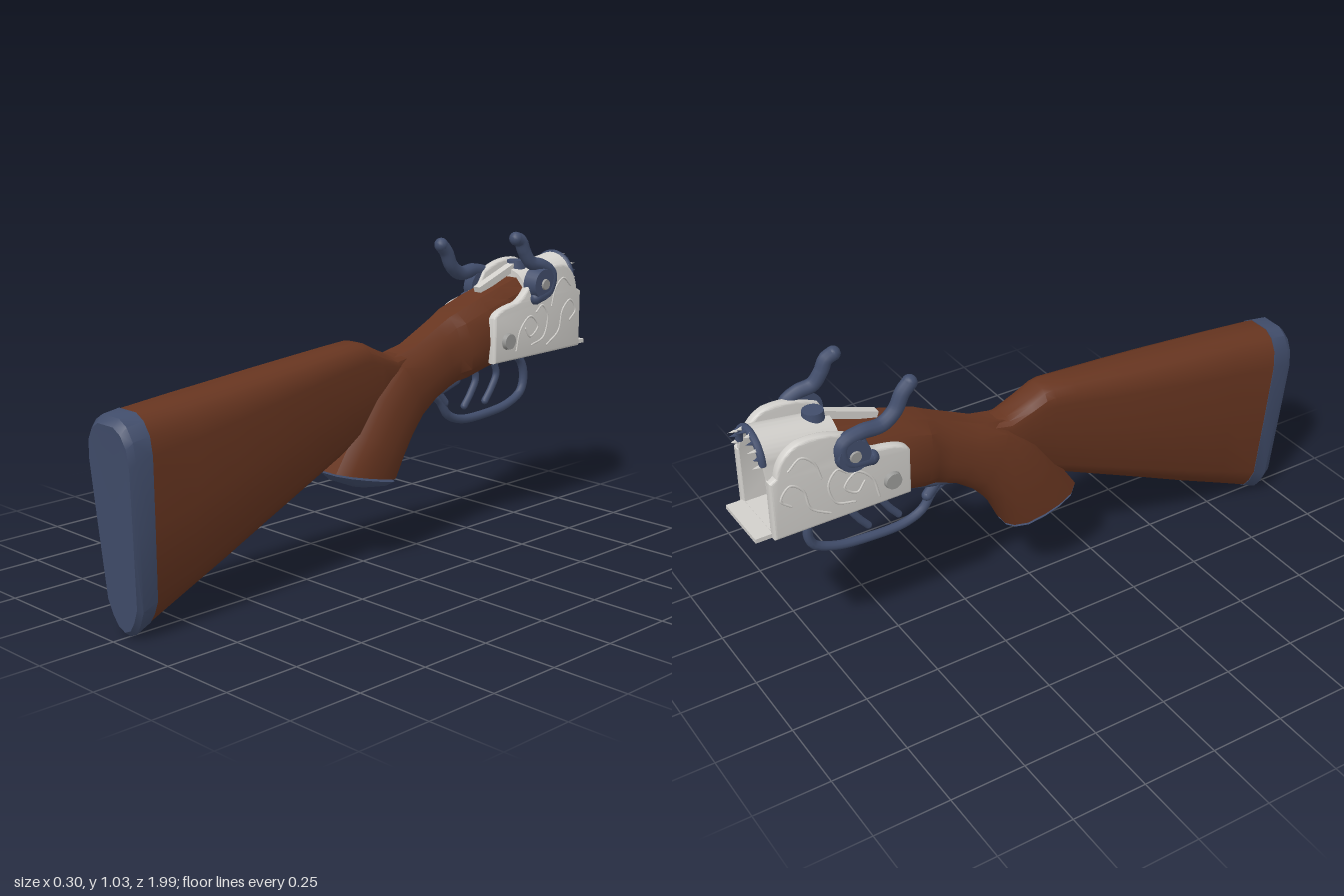
import * as THREE from 'three';
import { toCreasedNormals } from 'three/addons/utils/BufferGeometryUtils.js';

const mat = (name, color) => {
  const m = new THREE.MeshStandardMaterial({ color });
  m.name = name;
  return m;
};

export function createModel() {
  const wood = mat('walnut wood', 0x673520);
  const blue = mat('blued steel', 0x414d6b);
  const silver = mat('silver steel', 0xd2d0cc);
  const grey = mat('dull steel', 0x9a9a98);

  const model = new THREE.Group();
  model.name = 'gunStock';
  const add = (name, geo, material, parent = model) => {
    const mesh = new THREE.Mesh(geo, material);
    mesh.name = name;
    parent.add(mesh);
    return mesh;
  };

  // Loft from back (+z) to front. Ring: [topZ, topY, bottomZ, bottomY, halfWidth].
  // Section: [height fraction, width fraction] up one side, mirrored to the other.
  function loft(rings, section) {
    const loop = section.map(([v, u]) => [u, v]);
    [...section].reverse().forEach(([v, u]) => { if (u > 0) loop.push([-u, v]); });
    const n = loop.length, pos = [], idx = [];
    for (const [tz, ty, bz, by, w] of rings)
      for (const [u, v] of loop) pos.push(u * w, by + (ty - by) * v, bz + (tz - bz) * v);
    const last = rings.length - 1;
    for (let i = 0; i < last; i++)
      for (let j = 0; j < n; j++) {
        const a = i * n + j, b = i * n + (j + 1) % n;
        idx.push(a, a + n, b, b, a + n, b + n);
      }
    for (const [k, flip] of [[0, false], [last, true]]) {
      const [tz, ty, bz, by] = rings[k], c = pos.length / 3;
      pos.push(0, (ty + by) / 2, (tz + bz) / 2);
      for (let j = 0; j < n; j++) {
        const a = k * n + j, b = k * n + (j + 1) % n;
        if (flip) idx.push(c, b, a); else idx.push(c, a, b);
      }
    }
    const geo = new THREE.BufferGeometry();
    geo.setAttribute('position', new THREE.Float32BufferAttribute(pos, 3));
    geo.setIndex(idx);
    return toCreasedNormals(geo, 0.55);
  }

  // Rounded rod through [x, y, z] points
  function rod(name, pts, r, material, parent = model) {
    const p = pts.map((a) => new THREE.Vector3(...a));
    add(name, new THREE.TubeGeometry(new THREE.CatmullRomCurve3(p), 40, r, 10), material, parent);
    for (const end of [p[0], p[p.length - 1]])
      add(name + 'End', new THREE.SphereGeometry(r, 12, 8), material, parent).position.copy(end);
  }

  // Disc facing sideways
  function disc(name, r, depth, x, y, z, material) {
    const geo = new THREE.CylinderGeometry(r * 0.85, r, depth, 24);
    geo.rotateZ(x > 0 ? -Math.PI / 2 : Math.PI / 2);
    add(name, geo, material).position.set(x, y, z);
  }

  // Butt: pad and shoulder stock
  const buttSection = [[0, 0], [0.02, 0.3], [0.07, 0.53], [0.14, 0.73], [0.5, 0.88],
    [0.82, 1], [0.91, 0.93], [0.97, 0.7], [1, 0.38]];
  add('buttPad', loft([
    [0.997, 0.615, 0.96, 0.06, 0.08], [1.0, 0.642, 0.957, 0.02, 0.093],
    [0.98, 0.664, 0.938, 0.004, 0.1], [0.922, 0.672, 0.888, 0.028, 0.102]], buttSection), blue);
  add('shoulderStock', loft([
    [0.922, 0.67, 0.888, 0.03, 0.1], [0.75, 0.685, 0.75, 0.093, 0.1], [0.6, 0.697, 0.6, 0.16, 0.098],
    [0.45, 0.71, 0.45, 0.23, 0.093], [0.3, 0.722, 0.3, 0.298, 0.085], [0.14, 0.735, 0.14, 0.37, 0.073],
    [0.06, 0.74, 0.05, 0.41, 0.07], [0.03, 0.735, 0, 0.43, 0.068], [-0.02, 0.71, -0.04, 0.45, 0.066],
    [-0.1, 0.674, -0.08, 0.5, 0.062], [-0.18, 0.68, -0.14, 0.54, 0.05]], buttSection), wood);

  // Pistol grip, wrist and fore end of the wood
  const gripSection = [[0, 0.3], [0.06, 0.65], [0.2, 0.92], [0.42, 1], [0.65, 0.97], [0.86, 0.8], [1, 0.42]];
  add('gripCap', loft([
    [0.06, 0.272, -0.04, 0.255, 0.035], [0.12, 0.298, -0.08, 0.256, 0.07],
    [0.153, 0.328, -0.104, 0.264, 0.086]], gripSection), blue);
  add('grip', loft([
    [0.155, 0.335, -0.108, 0.272, 0.086], [0.08, 0.45, -0.14, 0.34, 0.091], [0.0, 0.57, -0.175, 0.395, 0.09],
    [-0.1, 0.67, -0.225, 0.452, 0.084], [-0.2, 0.69, -0.29, 0.5, 0.081], [-0.3, 0.737, -0.35, 0.525, 0.08],
    [-0.36, 0.765, -0.38, 0.537, 0.084], [-0.39, 0.778, -0.42, 0.545, 0.1], [-0.5, 0.812, -0.5, 0.563, 0.102],
    [-0.6, 0.838, -0.6, 0.58, 0.1], [-0.72, 0.865, -0.7, 0.597, 0.09]], gripSection), wood);

  // Hollow receiver: arched shell with a solid rear wall, sloping down to the rear
  function arch(z0, z1, hollow) {
    const s = new THREE.Shape();
    s.moveTo(-0.1, 0.6);
    s.lineTo(0.1, 0.6);
    s.lineTo(0.1, 0.8);
    s.lineTo(0.084, 0.835);
    s.absarc(0, 0.835, 0.084, 0, Math.PI, false);
    s.lineTo(-0.1, 0.8);
    if (hollow) {
      const h = new THREE.Path();
      h.moveTo(-0.085, 0.615);
      h.lineTo(-0.085, 0.8);
      h.lineTo(-0.07, 0.835);
      h.absarc(0, 0.835, 0.07, Math.PI, 0, true);
      h.lineTo(0.085, 0.8);
      h.lineTo(0.085, 0.615);
      s.holes.push(h);
    }
    const geo = new THREE.ExtrudeGeometry(s, { depth: z1 - z0, bevelEnabled: false, curveSegments: 20 });
    geo.translate(0, 0, z0);
    const p = geo.attributes.position;
    for (let i = 0; i < p.count; i++)
      if (p.getY(i) > 0.81) p.setY(i, p.getY(i) - (p.getZ(i) + 0.94) * 0.14);
    return toCreasedNormals(geo, 0.6);
  }
  add('receiverShell', arch(-0.935, -0.72, true), silver);
  add('receiverRearWall', arch(-0.73, -0.69, false), silver);
  add('receiverFloor', new THREE.BoxGeometry(0.2, 0.014, 0.3), silver).position.set(0, 0.607, -0.84);
  add('innerBlock', new THREE.BoxGeometry(0.07, 0.09, 0.05), blue).position.set(0, 0.76, -0.75);

  // Broken toothed rim over the arch
  const rim = new THREE.Group();
  rim.name = 'toothedRim';
  model.add(rim);
  add('rimBand', new THREE.TorusGeometry(0.077, 0.012, 8, 28, Math.PI), blue, rim).position.set(0, 0.835, -0.935);
  for (let i = 0; i <= 10; i++) {
    const a = (i / 10) * Math.PI;
    const tooth = add('rimTooth', new THREE.ConeGeometry(0.011, 0.022 + 0.012 * (i % 3), 4), i % 2 ? blue : silver, rim);
    tooth.rotation.x = -Math.PI / 2;
    tooth.position.set(0.077 * Math.cos(a), 0.835 + 0.077 * Math.sin(a), -0.95);
  }

  // Side plates with screw and raised scrollwork, both sides
  const plate = new THREE.Shape();
  plate.moveTo(0.5, 0.608);
  plate.lineTo(0.498, 0.75);
  plate.quadraticCurveTo(0.51, 0.775, 0.6, 0.785);
  plate.quadraticCurveTo(0.65, 0.8, 0.68, 0.86);
  plate.quadraticCurveTo(0.76, 0.9, 0.84, 0.89);
  plate.quadraticCurveTo(0.9, 0.87, 0.91, 0.8);
  plate.lineTo(0.93, 0.79);
  plate.lineTo(0.93, 0.608);
  const plateGeo = toCreasedNormals(new THREE.ExtrudeGeometry(plate, {
    depth: 0.018, bevelSize: 0.008, bevelThickness: 0.007, bevelSegments: 3, curveSegments: 10,
  }).rotateY(Math.PI / 2), 0.6);
  const scrolls = [
    [[0.63, -0.6], [0.7, -0.62], [0.74, -0.67], [0.7, -0.71], [0.67, -0.67], [0.7, -0.645]],
    [[0.64, -0.68], [0.66, -0.74], [0.73, -0.76], [0.77, -0.73], [0.75, -0.7]],
    [[0.63, -0.76], [0.67, -0.82], [0.74, -0.84], [0.77, -0.88], [0.73, -0.91], [0.7, -0.88]],
    [[0.76, -0.78], [0.82, -0.8], [0.85, -0.84], [0.82, -0.88]],
  ];
  for (const side of [1, -1]) {
    const name = side > 0 ? 'left' : 'right';
    add(name + 'SidePlate', plateGeo, silver).position.x = side > 0 ? 0.097 : -0.115;
    disc(name + 'PlateScrew', 0.03, 0.02, side * 0.126, 0.67, -0.555, grey);
    for (const s of scrolls)
      rod(name + 'Scroll', s.map(([y, z]) => [side * 0.121, y, z]), 0.004, silver);
  }

  // Hammers: left lowered, right drawn back
  disc('leftHammerBase', 0.06, 0.045, 0.123, 0.845, -0.715, blue);
  rod('leftHammer', [[0.125, 0.8, -0.69], [0.125, 0.82, -0.75], [0.124, 0.875, -0.765], [0.118, 0.905, -0.725],
    [0.108, 0.92, -0.68], [0.102, 0.96, -0.652], [0.101, 0.995, -0.635], [0.101, 1.006, -0.61]], 0.023, blue);
  disc('rightHammerBase', 0.06, 0.045, -0.123, 0.81, -0.68, blue);
  rod('rightHammer', [[-0.124, 0.775, -0.62], [-0.124, 0.79, -0.7], [-0.124, 0.85, -0.71], [-0.122, 0.87, -0.65],
    [-0.118, 0.868, -0.58], [-0.116, 0.9, -0.532], [-0.115, 0.95, -0.505], [-0.115, 0.976, -0.48]], 0.024, blue);
  disc('leftHammerScrew', 0.02, 0.01, 0.147, 0.845, -0.715, grey);
  disc('rightHammerScrew', 0.02, 0.01, -0.147, 0.81, -0.68, grey);

  // Top lever and its pivot
  const lever = add('topLever', new THREE.BoxGeometry(0.028, 0.025, 0.2), silver);
  lever.position.set(0, 0.862, -0.63);
  lever.rotation.x = 0.34;
  add('leverPivot', new THREE.CylinderGeometry(0.032, 0.036, 0.04, 20), blue).position.set(0, 0.89, -0.735);

  // Trigger guard, tang and two triggers
  rod('triggerGuard', [[0, 0.515, -0.29], [0, 0.485, -0.35], [0, 0.425, -0.395], [0, 0.398, -0.46], [0, 0.395, -0.58],
    [0, 0.41, -0.7], [0, 0.445, -0.77], [0, 0.5, -0.785], [0, 0.555, -0.765], [0, 0.595, -0.7]], 0.015, blue);
  rod('guardTang', [[0, 0.505, -0.29], [0, 0.52, -0.36], [0, 0.54, -0.43]], 0.02, blue);
  rod('guardFillet', [[0, 0.51, -0.34], [0, 0.47, -0.375]], 0.018, blue);
  for (const dz of [0, -0.105])
    rod('trigger', [[0, 0.58, -0.515 + dz], [0, 0.53, -0.535 + dz], [0, 0.48, -0.51 + dz], [0, 0.44, -0.478 + dz]], 0.012, blue);

  return model;
}
